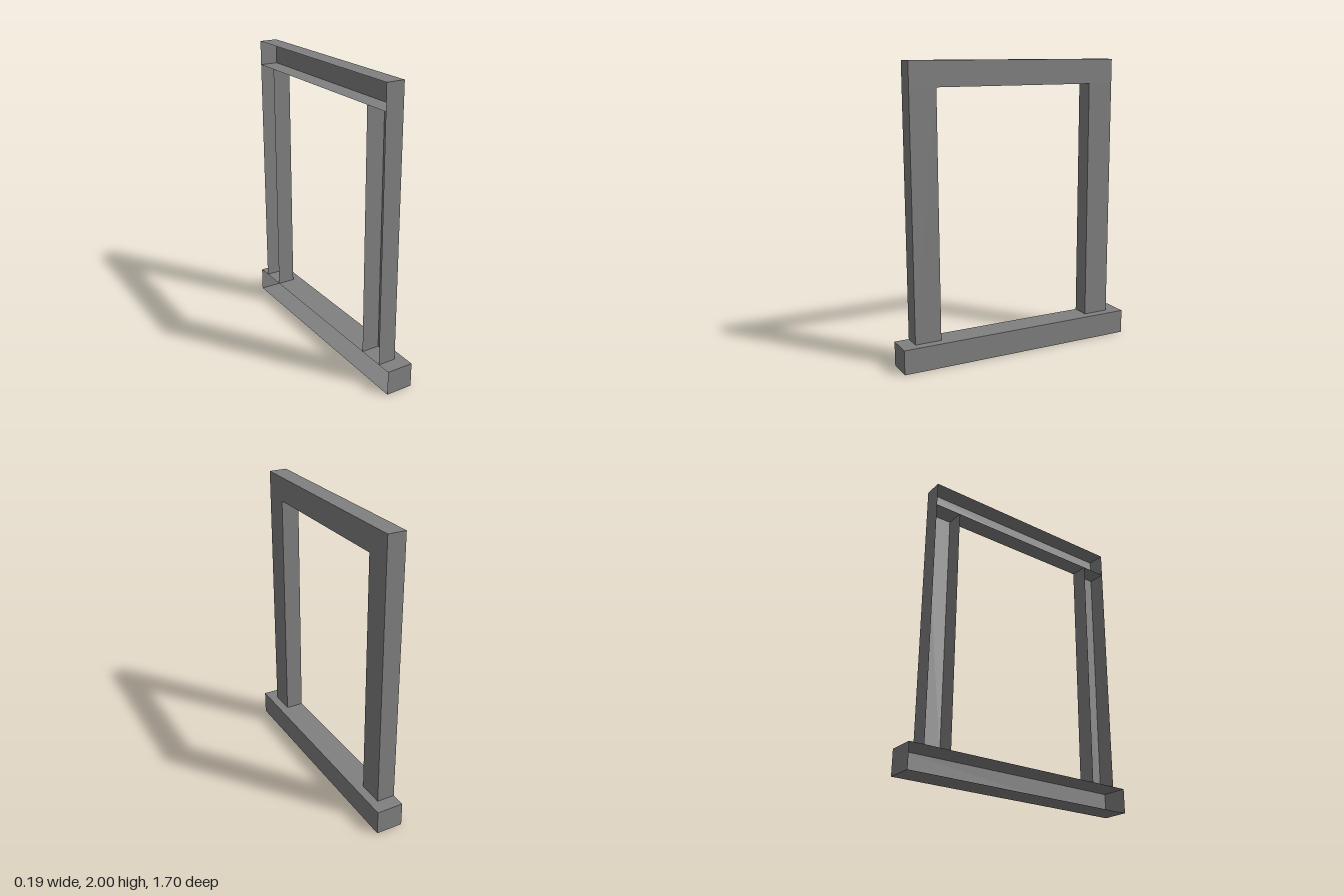
import * as THREE from 'three';

// Box sides in BoxGeometry order
const SIDES = ['+x', '-x', '+y', '-y', '+z', '-z'];

// A hollow box between two corners, keeping only the listed sides
function openBox(min, max, keep) {
  const size = max.map((v, i) => v - min[i]);
  const geo = new THREE.BoxGeometry(...size);
  const index = Array.from(geo.index.array);
  geo.setIndex(SIDES.flatMap((s, i) => (keep.includes(s) ? index.slice(i * 6, i * 6 + 6) : [])));
  geo.clearGroups();
  geo.translate(...max.map((v, i) => (v + min[i]) / 2));
  return geo;
}

export function createModel() {
  const group = new THREE.Group();
  group.name = 'windowFrame';
  const grey = new THREE.MeshStandardMaterial({ color: 0x808080, side: THREE.DoubleSide });
  grey.name = 'frameGrey';

  const add = (name, min, max, keep) => {
    const mesh = new THREE.Mesh(openBox(min, max, keep), grey);
    mesh.name = name;
    group.add(mesh);
  };

  const back = -0.093, face = 0.032;
  const sillTop = 0.167, beamBottom = 1.833;
  const noBack = ['+x', '+y', '-y', '+z', '-z'];

  // Wide sill and top beam, open on the wall side
  add('sill', [back, 0, -0.85], [0.093, sillTop, 0.85], noBack);
  add('topBeam', [back, beamBottom, -0.75], [face, 2, 0.75], noBack);

  // Posts between them, open on the wall side and at both ends
  const postSides = ['+x', '+z', '-z'];
  add('frontPost', [back, sillTop, 0.567], [face, beamBottom, 0.75], postSides);
  add('backPost', [back, sillTop, -0.75], [face, beamBottom, -0.567], postSides);

  return group;
}
